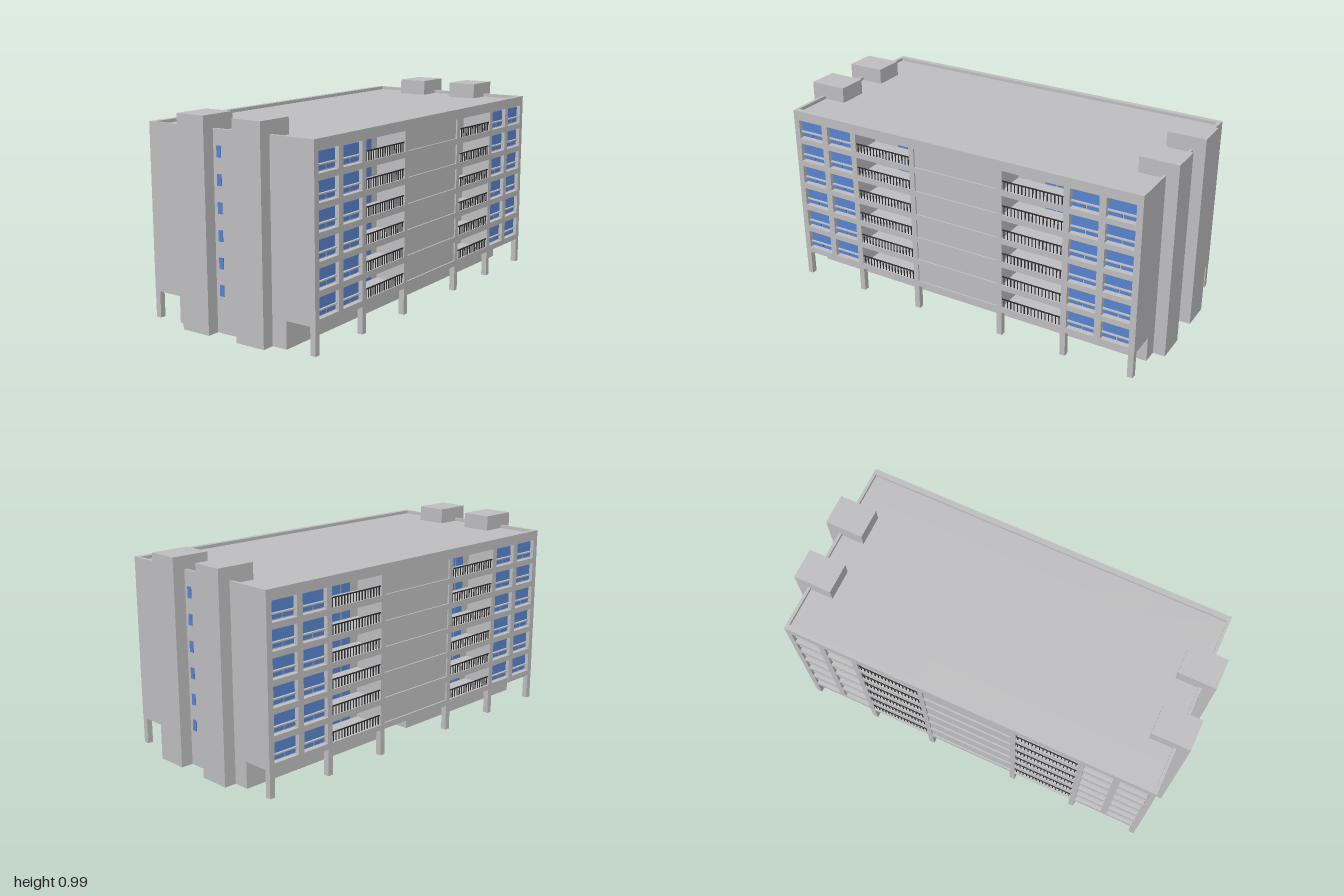
import * as THREE from 'three';

const concrete = new THREE.MeshStandardMaterial({ color: 0xbdbdbf });
concrete.name = 'concrete grey';
const glass = new THREE.MeshStandardMaterial({ color: 0x5883cd });
glass.name = 'window blue';
const iron = new THREE.MeshStandardMaterial({ color: 0x303030 });
iron.name = 'railing dark grey';

const FLOORS = 6, PITCH = 0.1245, FIRST = 0.157, OPEN = 0.096;
const SLAB = 0.128, ROOF = 0.908, TOP = 0.924;
const HALF_X = 0.94, CORE_Z = 0.312, FACE_Z = 0.467;

// Box given by its lower and upper limits on each axis
function block(parent, name, mat, [x0, x1], [y0, y1], [z0, z1]) {
  const mesh = new THREE.Mesh(new THREE.BoxGeometry(x1 - x0, y1 - y0, z1 - z0), mat);
  mesh.position.set((x0 + x1) / 2, (y0 + y1) / 2, (z0 + z1) / 2);
  mesh.name = name;
  parent.add(mesh);
  return mesh;
}

function rectPath(x0, x1, y0, y1, Type = THREE.Path) {
  const p = new Type();
  p.moveTo(x0, y0);
  p.lineTo(x1, y0);
  p.lineTo(x1, y1);
  p.lineTo(x0, y1);
  p.closePath();
  return p;
}

const BALCONIES = [[-0.565, -0.252], [0.252, 0.565]];
const WINDOWS = [[-0.91, -0.77], [-0.737, -0.595], [0.595, 0.737], [0.77, 0.91]];
const PANEL = [-0.225, 0.225];

// Pierced front wall
function facadeWall(parent) {
  const shape = rectPath(-HALF_X, HALF_X, SLAB, TOP, THREE.Shape);
  for (let f = 0; f < FLOORS; f++) {
    const y = FIRST + f * PITCH;
    for (const [a, b] of [...BALCONIES, ...WINDOWS, PANEL]) {
      shape.holes.push(rectPath(a, b, y, y + OPEN));
    }
  }
  const geo = new THREE.ExtrudeGeometry(shape, { depth: 0.028, bevelEnabled: false });
  const mesh = new THREE.Mesh(geo, concrete);
  mesh.position.z = FACE_Z - 0.028;
  mesh.name = 'facadeWall';
  parent.add(mesh);
}

// Two-part window: wide upper pane, smaller panes below a rail
function facadeWindow(parent, [a, b], y) {
  const g = new THREE.Group();
  g.name = 'facadeWindow';
  block(g, 'upperPane', glass, [a + 0.004, b - 0.004], [y + 0.038, y + 0.088], [0.442, 0.45]);
  block(g, 'lowerPaneLeft', glass, [a + 0.004, a + 0.068], [y + 0.008, y + 0.028], [0.442, 0.45]);
  block(g, 'lowerPaneRight', glass, [a + 0.076, b - 0.004], [y + 0.008, y + 0.028], [0.442, 0.45]);
  block(g, 'windowRail', concrete, [a, b], [y + 0.029, y + 0.035], [0.442, 0.456]);
  parent.add(g);
}

// Balcony: glazed doors on the rear wall and a railing at the edge
function balcony(parent, [a, b], y) {
  const g = new THREE.Group();
  g.name = 'balcony';
  for (const dx of [0.143, 0.206]) {
    block(g, 'balconyDoor', glass, [a + dx, a + dx + 0.054], [y + 0.004, y + 0.072], [0.312, 0.317]);
  }
  block(g, 'handrail', iron, [a, b], [y + 0.041, y + 0.046], [0.458, 0.463]);
  const n = 17;
  for (let i = 0; i < n; i++) {
    const x = a + ((i + 0.5) / n) * (b - a);
    block(g, 'baluster', iron, [x - 0.002, x + 0.002], [y, y + 0.042], [0.458, 0.462]);
  }
  parent.add(g);
}

function createFacade(name) {
  const g = new THREE.Group();
  g.name = name;
  facadeWall(g);
  // Solid rooms behind the windows and the middle panels
  for (const [a, b] of [[-HALF_X, -0.565], [0.565, HALF_X]]) {
    block(g, 'roomBlock', concrete, [a, b], [SLAB, ROOF], [CORE_Z, 0.441]);
  }
  block(g, 'middleBlock', concrete, [-0.252, 0.252], [SLAB, ROOF], [CORE_Z, 0.439]);
  block(g, 'middlePanel', concrete, [-0.23, 0.23], [FIRST - 0.01, TOP - 0.03], [0.439, 0.459]);
  // Floors between the balconies
  for (const [a, b] of BALCONIES) {
    for (let f = 0; f <= FLOORS; f++) {
      const y0 = f === 0 ? SLAB : FIRST + (f - 1) * PITCH + OPEN;
      const y1 = f === FLOORS ? ROOF : FIRST + f * PITCH;
      block(g, 'balconySlab', concrete, [a, b], [y0, y1], [CORE_Z, 0.439]);
    }
  }
  for (let f = 0; f < FLOORS; f++) {
    const y = FIRST + f * PITCH;
    WINDOWS.forEach((w) => facadeWindow(g, w, y));
    BALCONIES.forEach((b) => balcony(g, b, y));
  }
  // Ground floor columns
  for (const s of [-1, 1]) {
    for (const x of [0.238, 0.579, 0.925]) {
      block(g, 'column', concrete, [s * x - 0.014, s * x + 0.014], [0, SLAB], [0.439, FACE_Z]);
    }
  }
  return g;
}

// Set-back ground floor with an entrance niche at the rear
function groundFloor(parent) {
  const s = new THREE.Shape();
  s.moveTo(-HALF_X, -CORE_Z);
  s.lineTo(HALF_X, -CORE_Z);
  s.lineTo(HALF_X, CORE_Z);
  s.lineTo(0.1, CORE_Z);
  s.lineTo(0.1, CORE_Z - 0.1);
  s.lineTo(-0.1, CORE_Z - 0.1);
  s.lineTo(-0.1, CORE_Z);
  s.lineTo(-HALF_X, CORE_Z);
  s.closePath();
  const geo = new THREE.ExtrudeGeometry(s, { depth: SLAB, bevelEnabled: false });
  geo.rotateX(-Math.PI / 2);
  const mesh = new THREE.Mesh(geo, concrete);
  mesh.name = 'groundFloor';
  parent.add(mesh);
  for (const x of [-0.062, 0.004]) {
    block(parent, 'entranceDoor', glass, [x, x + 0.058], [0.003, 0.085], [-0.216, -0.211]);
  }
}

export function createModel() {
  const model = new THREE.Group();
  model.name = 'apartmentBlock';

  groundFloor(model);
  block(model, 'upperCore', concrete, [-HALF_X, HALF_X], [SLAB, ROOF], [-CORE_Z, CORE_Z]);

  const front = createFacade('frontFacade');
  const back = createFacade('backFacade');
  back.rotation.y = Math.PI;
  // Thin ledges below the rear balconies
  for (const [a, b] of BALCONIES) {
    block(back, 'rearLedge', concrete, [a, b], [0.15, 0.157], [FACE_Z, FACE_Z + 0.005]);
  }
  model.add(front, back);

  for (const s of [-1, 1]) {
    const end = new THREE.Group();
    end.name = s > 0 ? 'leftEnd' : 'rightEnd';
    // Rotated half a turn for the opposite end
    end.rotation.y = s > 0 ? 0 : Math.PI;
    block(end, 'endParapet', concrete, [0.925, HALF_X], [ROOF, TOP], [-0.439, 0.439]);
    for (const t of [-1, 1]) {
      const z = t * 0.158;
      block(end, 'stairTower', concrete, [0.81, 1], [0, 0.985], [z - 0.077, z + 0.077]);
      for (let f = 0; f < FLOORS; f++) {
        const y = 0.174 + f * 0.125;
        block(end, 'endWindow', glass, [0.938, 0.944], [y, y + 0.052], [t * 0.048 - 0.012, t * 0.048 + 0.012]);
      }
    }
    model.add(end);
  }
  return model;
}
